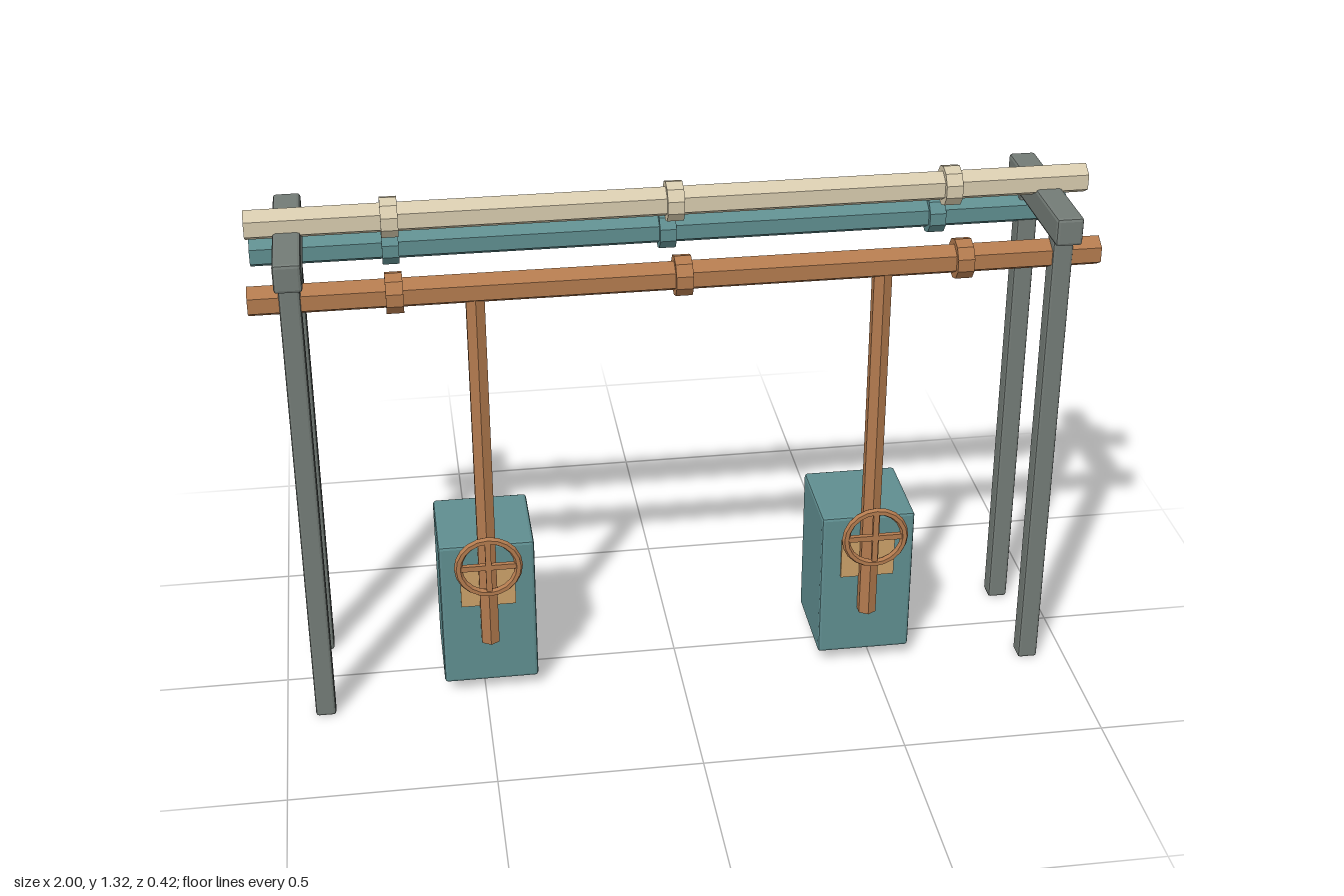
import * as THREE from 'three';
import { RoundedBoxGeometry } from 'three/addons/geometries/RoundedBoxGeometry.js';

const colour = (name, hex) => {
  const m = new THREE.MeshStandardMaterial({ color: hex });
  m.name = name;
  return m;
};

// Faceted normals for the low-poly look
function faceted(geometry) {
  const g = geometry.index ? geometry.toNonIndexed() : geometry;
  g.computeVertexNormals();
  return g;
}

export function createModel() {
  const model = new THREE.Group();
  model.name = 'pipeRack';

  const grey = colour('steel grey', 0x737b76);
  const teal = colour('teal', 0x5f8d8f);
  const copper = colour('copper', 0xb27a4e);
  const tan = colour('tan', 0xcaa068);
  const cream = colour('cream', 0xd6caad);

  function add(parent, name, geometry, material, x, y, z) {
    const mesh = new THREE.Mesh(faceted(geometry), material);
    mesh.name = name;
    mesh.position.set(x, y, z);
    parent.add(mesh);
    return mesh;
  }

  const bevelBox = (w, h, d, r) => new RoundedBoxGeometry(w, h, d, 1, r);

  // Prism lying along x, with one corner pointing up
  const barAlongX = (radius, length, sides) =>
    new THREE.CylinderGeometry(radius, radius, length, sides)
      .rotateY(Math.PI / 2).rotateZ(Math.PI / 2);

  // Two end frames: a pair of posts under a cross beam
  for (const side of [1, -1]) {
    const frame = new THREE.Group();
    frame.name = side > 0 ? 'leftFrame' : 'rightFrame';
    frame.position.x = side * 0.904;
    model.add(frame);
    add(frame, 'frontPost', bevelBox(0.05, 1.187, 0.05, 0.007), grey, 0, 0.5935, 0.147);
    add(frame, 'backPost', bevelBox(0.05, 1.187, 0.05, 0.007), grey, 0, 0.5935, -0.146);
    add(frame, 'crossBeam', bevelBox(0.065, 0.07, 0.423, 0.008), grey, 0, 1.219, 0);
  }

  // Three long hexagonal pipes, each with three collars
  const pipes = [
    ['topPipe', cream, 1.266, -0.003],
    ['frontPipe', copper, 1.137, 0.135],
    ['backPipe', teal, 1.137, -0.139],
  ];
  for (const [name, material, y, z] of pipes) {
    const group = new THREE.Group();
    group.name = name;
    group.position.set(0, y, z);
    model.add(group);
    add(group, 'pipe', barAlongX(0.037, 2, 6), material, 0, 0, 0);
    for (const x of [-0.668, 0, 0.668]) {
      add(group, 'collar', barAlongX(0.049, 0.04, 10), material, x, 0, 0);
    }
  }

  // Two stations: cabinet, plate, drop pipe and handwheel
  for (const x of [-0.484, 0.477]) {
    const station = new THREE.Group();
    station.name = x > 0 ? 'leftStation' : 'rightStation';
    station.position.x = x;
    model.add(station);

    add(station, 'cabinet', bevelBox(0.237, 0.399, 0.24, 0.008), teal, 0, 0.2335, 0.001);
    add(station, 'plate', new THREE.BoxGeometry(0.136, 0.108, 0.009), tan, 0, 0.316, 0.123);
    add(station, 'dropPipe', new THREE.CylinderGeometry(0.025, 0.025, 0.965, 6), copper, 0, 0.6475, 0.135);

    const wheel = new THREE.Group();
    wheel.name = 'handwheel';
    wheel.position.set(0, 0.415, 0.193);
    station.add(wheel);
    add(wheel, 'rim', new THREE.TorusGeometry(0.074, 0.01, 6, 20), copper, 0, 0, 0);
    for (const angle of [0, Math.PI / 2]) {
      add(wheel, 'spoke', new THREE.BoxGeometry(0.145, 0.014, 0.012), copper, 0, 0, 0).rotation.z = angle;
    }
  }

  return model;
}
